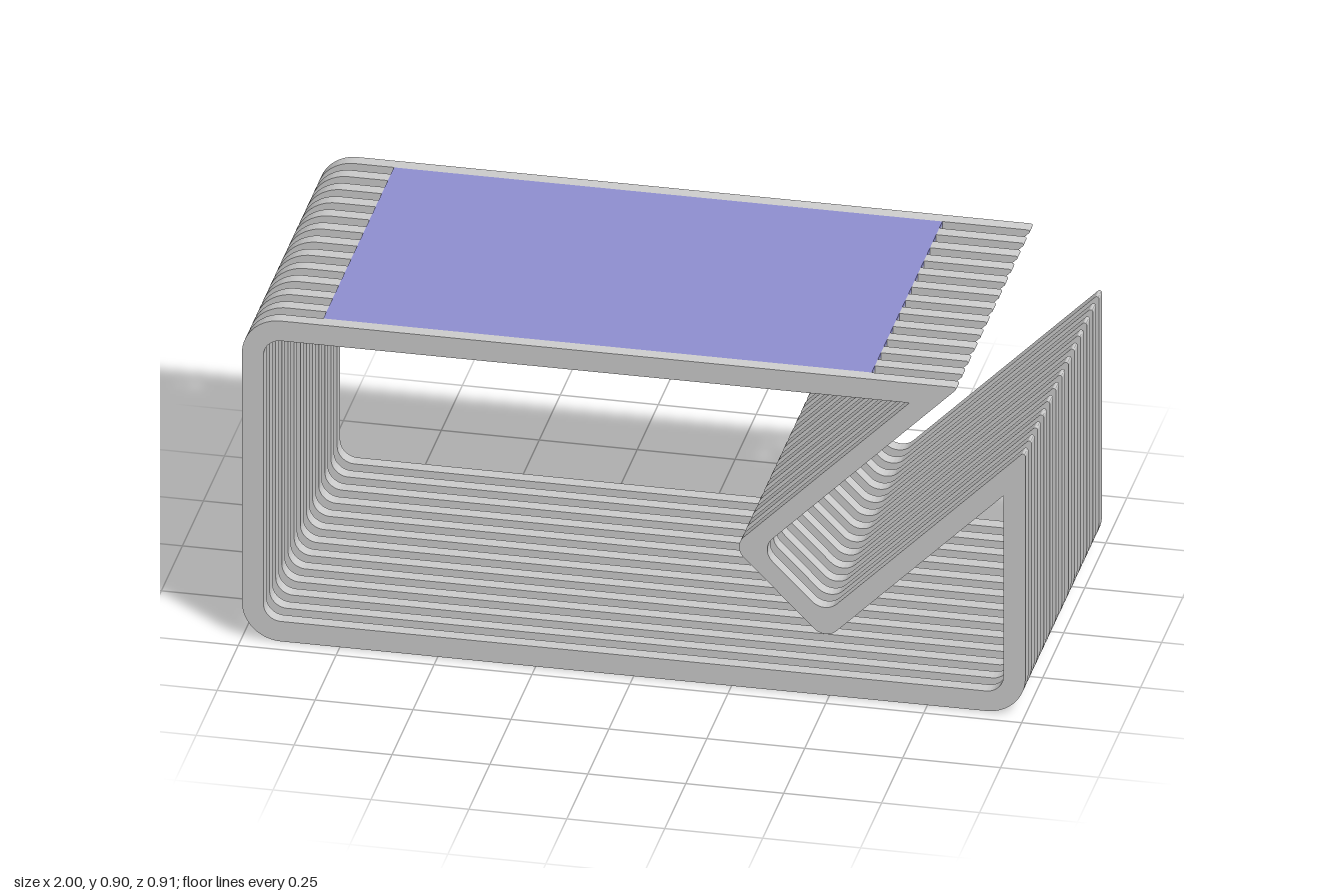
import * as THREE from 'three';
import { toCreasedNormals } from 'three/addons/utils/BufferGeometryUtils.js';

const RIBS = 13, WIDTH = 0.036, PITCH = 0.073;
const grey = new THREE.MeshStandardMaterial({ color: 0xcccccc });
const blue = new THREE.MeshStandardMaterial({ color: 0x8f8fd0 });

// Closed outline through [x, y, cornerRadius] points with tangent arcs
function roundedOutline(points, path) {
  const n = points.length;
  points.forEach(([x, y, r = 0], i) => {
    const p = new THREE.Vector2(x, y);
    const prev = points[(i + n - 1) % n], next = points[(i + 1) % n];
    const u = new THREE.Vector2(prev[0], prev[1]).sub(p).normalize();
    const v = new THREE.Vector2(next[0], next[1]).sub(p).normalize();
    const half = Math.acos(u.dot(v)) / 2, d = r ? r / Math.tan(half) : 0;
    const a = p.clone().addScaledVector(u, d), b = p.clone().addScaledVector(v, d);
    if (i === 0) path.moveTo(a.x, a.y);
    else path.lineTo(a.x, a.y);
    if (!r) return;
    const c = u.clone().add(v).normalize().multiplyScalar(r / Math.sin(half)).add(p);
    const angle = (q) => Math.atan2(q.y - c.y, q.x - c.x);
    path.absarc(c.x, c.y, r, angle(a), angle(b), u.cross(v) > 0);
  });
  path.closePath();
  return path;
}

// One rib: rounded frame whose right end folds into a slanted pocket
function ribGeometry(recessed) {
  const recess = recessed ? [[0.6, 0.9], [0.6, 0.89], [-0.8, 0.89], [-0.8, 0.9]] : [];
  const shape = roundedOutline([
    [-1, 0, 0.1], [1, 0, 0.1], [1, 0.74, 0.006],
    [0.4875, 0.2275, 0.045], [0.3225, 0.3925, 0.045],
    [0.83, 0.9, 0.005], ...recess, [-1, 0.9, 0.1],
  ], new THREE.Shape());
  shape.holes.push(roundedOutline([
    [-0.945, 0.056, 0.045], [-0.945, 0.844, 0.045], [0.704, 0.844],
    [0.2525, 0.3925, 0.04], [0.49, 0.155, 0.04], [0.944, 0.609], [0.944, 0.056, 0.045],
  ], new THREE.Path()));
  const geo = new THREE.ExtrudeGeometry(shape, { depth: WIDTH, bevelEnabled: false, curveSegments: 10 });
  return toCreasedNormals(geo.translate(0, 0, -WIDTH / 2), 0.5);
}

function box(name, x0, x1, y0, y1, z, depth, material = grey) {
  const mesh = new THREE.Mesh(new THREE.BoxGeometry(x1 - x0, y1 - y0, depth), material);
  mesh.position.set((x0 + x1) / 2, (y0 + y1) / 2, z);
  mesh.name = name;
  return mesh;
}

export function createModel() {
  const group = new THREE.Group();
  group.name = 'slattedTable';

  // Ribs: the two outer ones are plain, the inner ones are recessed for the panel
  const plain = ribGeometry(false), recessed = ribGeometry(true);
  for (let i = 0; i < RIBS; i++) {
    const outer = i === 0 || i === RIBS - 1;
    const rib = new THREE.Mesh(outer ? plain : recessed, grey);
    rib.name = outer ? 'outerRib' : 'rib';
    rib.position.z = (i - (RIBS - 1) / 2) * PITCH;
    group.add(rib);
  }

  // Spacers in each gap: a long one under the panel and short blocks in the base
  const gap = PITCH - WIDTH;
  for (let i = 0; i < RIBS - 1; i++) {
    const z = (i - (RIBS - 2) / 2) * PITCH;
    group.add(box('topSpacer', -0.8, 0.6, 0.842, 0.89, z, gap));
    for (const x of [0.1, 0.3, 0.5, 0.7]) {
      group.add(box('baseSpacer', x, x + 0.1, 0, 0.036, z, gap));
      group.add(box('baseSpacer', -x - 0.1, -x, 0, 0.036, z, gap));
    }
  }

  // Inlaid top panel
  group.add(box('topPanel', -0.8, 0.6, 0.89, 0.9, 0, 0.84, blue));
  return group;
}
